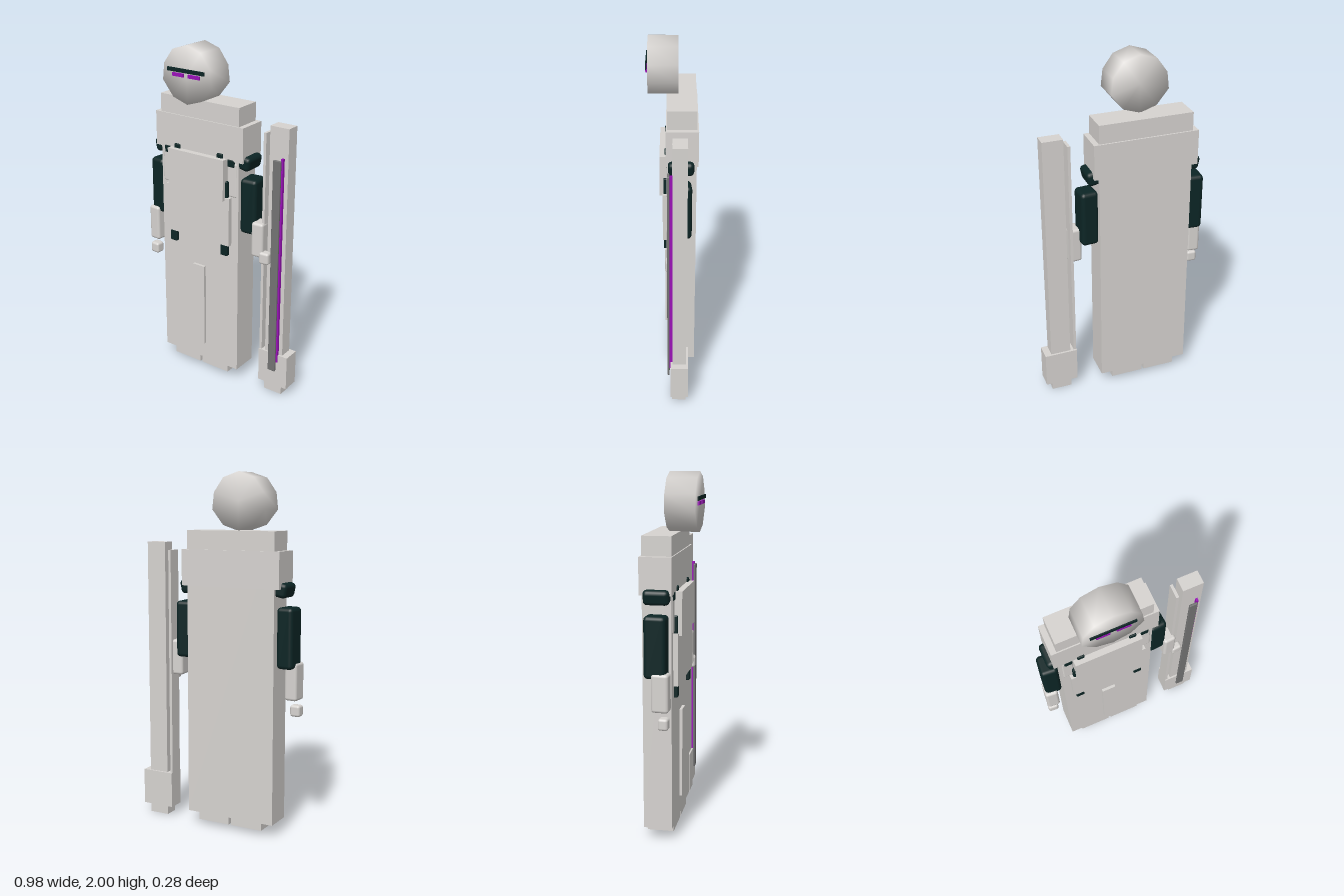
import * as THREE from 'three';
import { mergeVertices } from 'three/addons/utils/BufferGeometryUtils.js';
import { RoundedBoxGeometry } from 'three/addons/geometries/RoundedBoxGeometry.js';

const material = (name, color) => {
  const m = new THREE.MeshStandardMaterial({ color });
  m.name = name;
  return m;
};

export function createModel() {
  const model = new THREE.Group();
  model.name = 'robedFigure';
  const pale = material('paleCloth', 0xd6d3d0);
  const dark = material('darkTeal', 0x0c2525);
  const purple = material('purpleGlow', 0x9a12b8);
  const grey = material('greyMetal', 0x747474);

  const add = (name, geometry, mat, parent = model) => {
    const mesh = new THREE.Mesh(geometry, mat);
    mesh.name = name;
    parent.add(mesh);
    return mesh;
  };
  // Box given by its extents; a radius rounds its edges
  const box = (name, mat, [x0, x1], [y0, y1], [z0, z1], parent = model, radius = 0) => {
    const size = [x1 - x0, y1 - y0, z1 - z0];
    const geometry = radius ? new RoundedBoxGeometry(...size, 2, radius) : new THREE.BoxGeometry(...size);
    const mesh = add(name, geometry, mat, parent);
    mesh.position.set((x0 + x1) / 2, (y0 + y1) / 2, (z0 + z1) / 2);
    return mesh;
  };
  // The body is symmetric about x = -0.112
  const mirror = ([a, b], side) => (side > 0 ? [a, b] : [-0.224 - b, -0.224 - a]);

  // Robe, shoulder cape and front plates
  box('robe', pale, [-0.38, 0.155], [0.072, 1.685], [-0.134, 0.024]);
  box('shoulderCape', pale, [-0.412, 0.186], [1.38, 1.58], [-0.143, 0.031]);
  box('chestPlate', pale, [-0.304, 0.08], [1.15, 1.388], [0.02, 0.067]);
  box('bellyPlate', pale, [-0.334, 0.109], [0.878, 1.166], [0.02, 0.05]);
  box('skirtPanel', pale, [-0.155, -0.073], [0.178, 0.695], [0.02, 0.04]);

  for (const side of [1, -1]) {
    const label = side > 0 ? 'left' : 'right';
    box(label + 'Foot', pale, mirror([-0.105, 0.086], side), [0.028, 0.08], [-0.128, 0.02]);
    // Dark straps showing around the plates
    box(label + 'LegStrap', dark, mirror([0.045, 0.093], side), [0.81, 1.26], [0.015, 0.045], model, 0.006);
    box(label + 'ChestStrap', dark, mirror([0.016, 0.056], side), [1.34, 1.412], [0.015, 0.04], model, 0.006);
    box(label + 'ArmpitStrap', dark, mirror([0.083, 0.13], side), [1.345, 1.39], [0, 0.034], model, 0.008);
    box(label + 'SideCloth', pale, mirror([0.08, 0.145], side), [1.17, 1.37], [0, 0.028], model, 0.01);
    const pad = box(label + 'Shoulder', dark, mirror([0.13, 0.215], side), [1.335, 1.415], [-0.12, 0.02], model, 0.022);
    pad.rotation.z = -0.2 * side;
  }

  // Arms: the left one reaches out to the staff
  const arm = (label, upper, fore, hand, turn) => {
    const group = new THREE.Group();
    group.name = label + 'Arm';
    model.add(group);
    box(label + 'UpperArm', dark, ...upper, group, 0.022).rotation.y = turn;
    box(label + 'Forearm', pale, ...fore, group, 0.016).rotation.y = turn;
    box(label + 'Hand', pale, ...hand, group, 0.014).rotation.y = turn;
  };
  arm('left', [[0.152, 0.253], [0.965, 1.287], [-0.108, 0.012]],
    [[0.24, 0.314], [0.85, 1.055], [-0.065, 0.027]],
    [[0.296, 0.358], [0.82, 0.89], [-0.022, 0.032]], 0.08);
  arm('right', [[-0.478, -0.382], [0.947, 1.282], [-0.108, 0.012]],
    [[-0.488, -0.414], [0.77, 0.98], [-0.066, 0.028]],
    [[-0.49, -0.43], [0.675, 0.74], [-0.03, 0.025]], -0.08);

  // Head: a ten-sided prism, smoothed all over
  const headShape = new THREE.CylinderGeometry(0.16, 0.16, 0.163, 10, 1);
  headShape.rotateX(Math.PI / 2);
  headShape.deleteAttribute('normal');
  headShape.deleteAttribute('uv');
  // Flare the rim a little at the jaw
  const p = headShape.attributes.position;
  for (let i = 0; i < p.count; i++) {
    if (p.getY(i) < -0.02 && p.getY(i) > -0.1) p.setXY(i, p.getX(i) * 1.07, p.getY(i) + 0.005);
  }
  const head = mergeVertices(headShape);
  head.computeVertexNormals();
  add('head', head, pale).position.set(-0.112, 1.842, 0.046);

  // Face details
  box('brow', dark, [-0.234, 0.008], [1.855, 1.876], [0.133, 0.14]);
  box('rightEye', purple, [-0.203, -0.13], [1.83, 1.849], [0.13, 0.139]);
  box('leftEye', purple, [-0.097, -0.022], [1.83, 1.849], [0.13, 0.139]);

  // Great staff held at the left side
  const staff = new THREE.Group();
  staff.name = 'staff';
  model.add(staff);
  box('staffShaft', pale, [0.333, 0.45], [0.25, 1.615], [-0.083, -0.006], staff);
  box('staffSidePlate', pale, [0.296, 0.312], [0.25, 1.57], [-0.083, -0.002], staff);
  box('staffBase', pale, [0.296, 0.488], [0.053, 0.26], [-0.095, 0.004], staff);
  box('staffTip', pale, [0.333, 0.45], [0, 0.055], [-0.083, -0.004], staff);
  box('staffInlay', grey, [0.371, 0.419], [0.155, 1.44], [0.01, 0.023], staff, 0.004);
  box('staffGlow', purple, [0.414, 0.427], [0.213, 1.45], [-0.008, 0.01], staff);

  return model;
}
